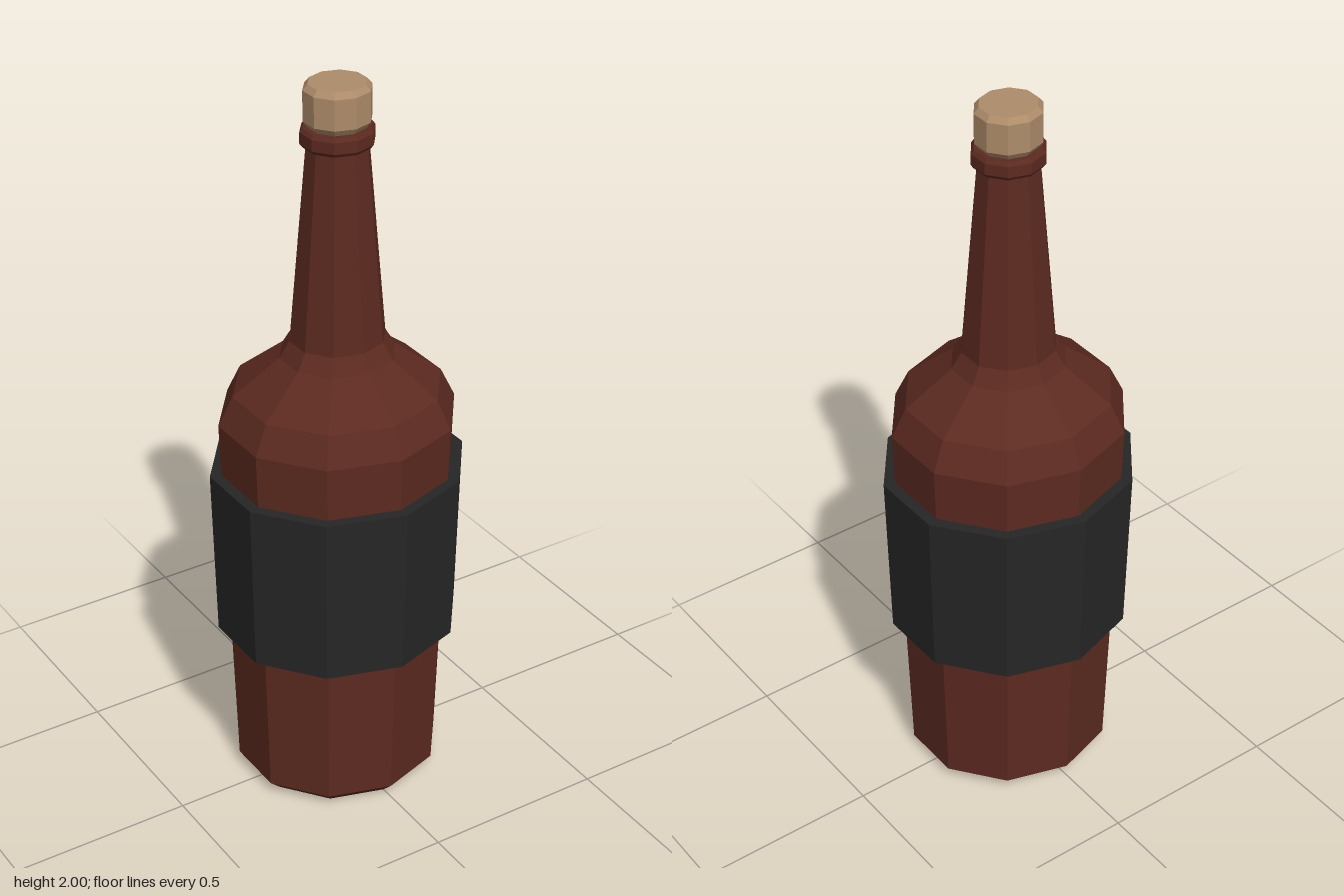
import * as THREE from 'three';

const SIDES = 10;
const WIDEN = 1.05; // makes the ten-sided section as wide as it is deep

// Faceted turned part from [radius, height] pairs, listed from the bottom outwards and up
function turned(name, color, profile) {
  const points = profile.map(([r, y]) => new THREE.Vector2(r, y));
  const geometry = new THREE.LatheGeometry(points, SIDES);
  geometry.scale(WIDEN, 1, 1);
  const mesh = new THREE.Mesh(
    geometry,
    new THREE.MeshStandardMaterial({ color, flatShading: true })
  );
  mesh.name = name;
  return mesh;
}

export function createModel() {
  const model = new THREE.Group();
  model.name = 'corkedBottle';

  // Glass: chamfered foot, flared body, stepped shoulder, tapering neck
  model.add(turned('bottleBody', 0x5c2a20, [
    [0, 0.01], [0.235, 0], [0.27, 0.035], [0.303, 1.09],
    [0.266, 1.17], [0.147, 1.265], [0.121, 1.31], [0.077, 1.845],
  ]));

  // Raised lip round the mouth
  model.add(turned('bottleLip', 0x5c2a20, [
    [0.07, 1.838], [0.085, 1.838], [0.092, 1.848], [0.092, 1.878],
    [0.085, 1.888], [0, 1.888],
  ]));

  // Label sleeve, following the flare of the body
  model.add(turned('labelBand', 0x262626, [
    [0.27, 0.465], [0.317, 0.465], [0.328, 0.942], [0.28, 0.942], [0.27, 0.465],
  ]));

  // Stopper with bevelled ends
  model.add(turned('cork', 0xae8c6a, [
    [0, 1.87], [0.068, 1.87], [0.072, 1.888], [0.084, 1.905],
    [0.084, 1.985], [0.072, 2], [0, 2],
  ]));

  return model;
}
